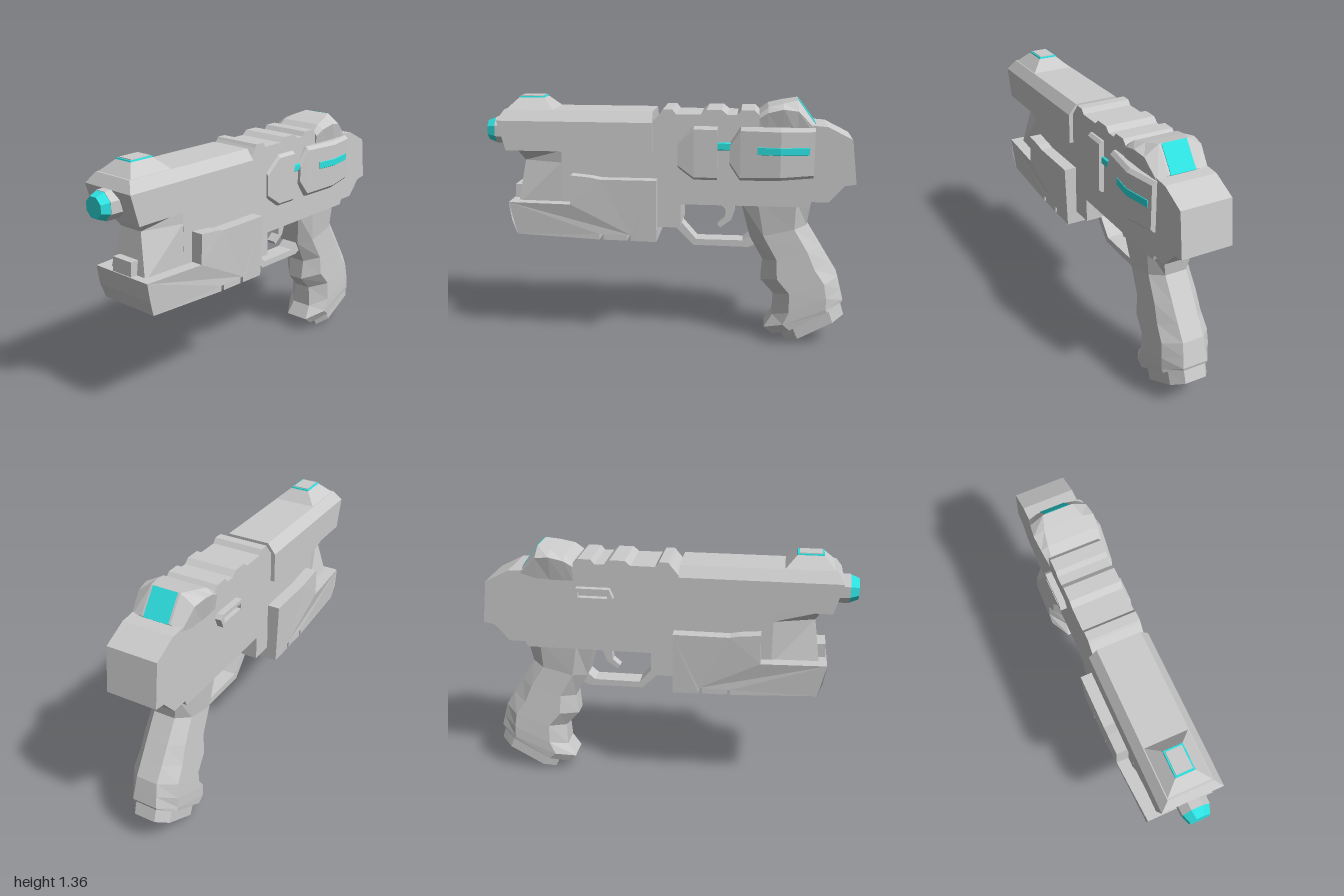
import * as THREE from 'three';

const grey = new THREE.MeshStandardMaterial({ color: 0xcccccc, flatShading: true });
const cyan = new THREE.MeshStandardMaterial({ color: 0x2ee2e2, flatShading: true });

// Closed solid through matching convex cross-sections of [x, y, z] corners
function loft(sections) {
  const tris = [];
  const n = sections[0].length;
  for (let s = 0; s < sections.length - 1; s++) {
    const a = sections[s], b = sections[s + 1];
    for (let i = 0; i < n; i++) {
      const j = (i + 1) % n;
      tris.push([a[i], a[j], b[j]], [a[i], b[j], b[i]]);
    }
  }
  const first = sections[0], last = sections[sections.length - 1];
  for (let i = 1; i < n - 1; i++) {
    tris.push([first[0], first[i + 1], first[i]], [last[0], last[i], last[i + 1]]);
  }
  // A negative volume means the corners run the wrong way round
  let volume = 0;
  for (const [p, q, r] of tris) {
    volume += new THREE.Vector3(...p).dot(new THREE.Vector3(...q).cross(new THREE.Vector3(...r)));
  }
  if (volume < 0) tris.forEach((t) => t.reverse());
  const g = new THREE.BufferGeometry();
  g.setAttribute('position', new THREE.Float32BufferAttribute(tris.flat(2), 3));
  g.computeVertexNormals();
  return g;
}

// Side profile of [z, y] points, extruded across x
function slab(profile, halfWidth, centreX = 0, hole = null) {
  const shape = new THREE.Shape(profile.map(([z, y]) => new THREE.Vector2(z, y)));
  if (hole) shape.holes.push(new THREE.Path(hole.map(([z, y]) => new THREE.Vector2(z, y))));
  const g = new THREE.ExtrudeGeometry(shape, { depth: halfWidth * 2, bevelEnabled: false });
  return g.rotateY(-Math.PI / 2).translate(centreX + halfWidth, 0, 0);
}

// Octagonal section from a front [z, y] to a back [z, y] point
function octagon([fz, fy], [bz, by], half, frontHalf, backHalf, frontCut, backCut) {
  const at = (x, t) => [x, fy + (by - fy) * t, fz + (bz - fz) * t];
  return [
    at(frontHalf, 0), at(half, frontCut), at(half, 1 - backCut), at(backHalf, 1),
    at(-backHalf, 1), at(-half, 1 - backCut), at(-half, frontCut), at(-frontHalf, 0),
  ];
}

// Chamfered plate on the left side; rows are [z, low, high, outer x]
const plate = (rows, c, inner = 0.12) => loft(rows.map(([z, lo, hi, x]) => [
  [inner, lo, z], [x - c, lo, z], [x, lo + c, z], [x, hi - c, z], [x - c, hi, z], [inner, hi, z],
]));

export function createModel() {
  const model = new THREE.Group();
  const add = (name, geometry, material = grey) => {
    const mesh = new THREE.Mesh(geometry, material);
    mesh.name = name;
    model.add(mesh);
    return mesh;
  };

  // Main frame with ridged top, stepped rear and block ahead of the trigger
  add('frame', slab([
    [0.05, 0.67], [0.05, 0.8], [0.57, 0.8], [0.57, 1.08], [0.085, 1.08], [0.085, 1.23], [0.03, 1.295],
    [0.02, 1.31], [-0.03, 1.31], [-0.05, 1.285], [-0.18, 1.285], [-0.21, 1.31], [-0.29, 1.31],
    [-0.32, 1.285], [-0.37, 1.285], [-0.39, 1.31], [-0.46, 1.31], [-0.49, 1.28],
    [-0.775, 1.235], [-0.84, 1.23], [-0.97, 1.165], [-1.0, 0.93], [-0.94, 0.92], [-0.86, 0.83],
    [-0.77, 0.83], [-0.76, 0.8], [-0.075, 0.8], [-0.075, 0.67],
  ], 0.138));

  // Slide with chamfered top edges and a pointed front
  const slideSection = (zMid, zBottom, zTop) => [
    [0.16, 1.24, zMid], [0.16, 1.08, zBottom], [-0.16, 1.08, zBottom],
    [-0.16, 1.24, zMid], [-0.118, 1.295, zTop], [0.118, 1.295, zTop],
  ];
  add('slide', loft([slideSection(0.075, 0.075, 0.075), slideSection(0.915, 0.87, 0.88)]));

  // Tapered column under the slide
  const column = (y, half, front, frontHalf) => [
    [half, y, 0.5], [half, y, 0.57], [frontHalf, y, front],
    [-frontHalf, y, front], [-half, y, 0.57], [-half, y, 0.5],
  ];
  add('frontColumn', loft([
    column(1.08, 0.138, 0.81, 0.137), column(1.015, 0.137, 0.785, 0.07), column(0.78, 0.137, 0.82, 0.125),
  ]));

  // Lower rail, narrowing toward the front and the bottom
  const rail = slab([
    [0.05, 0.6], [0.05, 0.94], [0.35, 0.94], [0.4, 0.95], [0.51, 0.96], [0.515, 0.8], [0.86, 0.8],
    [0.845, 0.7], [0.82, 0.62], [0.36, 0.605], [0.36, 0.635], [0.34, 0.635], [0.34, 0.605],
    [0.21, 0.603], [0.21, 0.635], [0.19, 0.635], [0.19, 0.602],
  ], 0.205);
  const p = rail.attributes.position;
  for (let i = 0; i < p.count; i++) {
    const taper = 1 - 0.1 * Math.max(0, (p.getZ(i) - 0.515) / 0.345);
    p.setX(i, p.getX(i) * taper * (p.getY(i) < 0.65 ? 0.94 : 1));
  }
  rail.computeVertexNormals();
  add('lowerRail', rail);
  add('railNub', slab([[0.75, 0.79], [0.855, 0.79], [0.85, 0.875], [0.75, 0.875]], 0.065));

  // Muzzle
  const ring = (name, r0, r1, z0, z1, material) => add(name,
    new THREE.CylinderGeometry(r1, r0, z1 - z0, 8).rotateY(Math.PI / 8).rotateX(Math.PI / 2)
      .translate(0, 1.17, (z0 + z1) / 2), material);
  ring('muzzleCollar', 0.078, 0.076, 0.86, 0.955, grey);
  ring('muzzleTip', 0.074, 0.056, 0.955, 1.0, cyan);

  // Front sight with a glowing rim
  const rect = (y, x, z0, z1) => [[x, y, z0], [x, y, z1], [-x, y, z1], [-x, y, z0]];
  add('frontSight', loft([rect(1.29, 0.118, 0.61, 0.875), rect(1.355, 0.05, 0.675, 0.81)]));
  add('frontSightRim', loft([rect(1.352, 0.052, 0.673, 0.812), rect(1.36, 0.05, 0.675, 0.81)]), cyan);
  add('frontSightTop', loft([rect(1.355, 0.043, 0.683, 0.802), rect(1.364, 0.042, 0.684, 0.801)]));

  // Rear sight hump and its glowing back face
  add('rearSight', loft([
    [-0.485, 1.29, 0.125, 1.27, 0.15], [-0.53, 1.325, 0.12, 1.3, 0.158],
    [-0.61, 1.345, 0.105, 1.32, 0.165], [-0.685, 1.36, 0.08, 1.31, 0.155],
    [-0.775, 1.24, 0.08, 1.22, 0.138],
  ].map(([z, top, topHalf, mid, midHalf]) => [
    [topHalf, top, z], [midHalf, mid, z], [0.136, 1.18, z],
    [-0.136, 1.18, z], [-midHalf, mid, z], [-topHalf, top, z],
  ])));
  add('rearSightLight', slab([[-0.688, 1.35], [-0.688, 1.361], [-0.78, 1.239], [-0.77, 1.23]], 0.068), cyan);

  // Left side plates and lights
  add('frontSidePlate', plate([
    [-0.06, 1.0, 1.14, 0.15], [-0.145, 0.94, 1.225, 0.163], [-0.27, 0.94, 1.225, 0.165],
  ], 0.015));
  add('rearSidePlate', plate([
    [-0.335, 1.02, 1.14, 0.155], [-0.39, 0.94, 1.225, 0.168],
    [-0.6, 0.95, 1.225, 0.196], [-0.775, 0.96, 1.225, 0.165],
  ], 0.018));
  add('plateLink', plate([[-0.26, 1.1, 1.14, 0.15], [-0.345, 1.1, 1.14, 0.15]], 0.004), cyan);
  add('sideLight', plate([
    [-0.48, 1.085, 1.125, 0.183], [-0.6, 1.085, 1.125, 0.199], [-0.75, 1.085, 1.125, 0.173],
  ], 0.002), cyan);

  // Slot frame on the right side
  add('slotFrame', slab(
    [[-0.27, 1.11], [-0.29, 1.16], [-0.47, 1.16], [-0.49, 1.14], [-0.47, 1.09], [-0.29, 1.09]], 0.02, -0.153,
    [[-0.3, 1.11], [-0.46, 1.11], [-0.46, 1.14], [-0.3, 1.14]]));

  // Grip with finger ridges: front point, back point, half width, front and back facet half widths
  add('grip', loft([
    [[-0.4, 0.81], [-0.775, 0.835], 0.132, 0.1, 0.09],
    [[-0.45, 0.61], [-0.755, 0.685], 0.115, 0.06, 0.06],
    [[-0.525, 0.475], [-0.83, 0.565], 0.122, 0.05, 0.06],
    [[-0.515, 0.36], [-0.885, 0.475], 0.128, 0.045, 0.06],
    [[-0.59, 0.28], [-0.935, 0.395], 0.134, 0.05, 0.06],
    [[-0.585, 0.16], [-0.953, 0.325], 0.138, 0.06, 0.065],
    [[-0.54, 0.085], [-0.968, 0.265], 0.138, 0.07, 0.07],
    [[-0.59, 0.045], [-0.965, 0.252], 0.135, 0.07, 0.07],
  ].map((s) => octagon(...s, 0.24, 0.22))));
  add('gripCap', loft([
    octagon([-0.635, 0.065], [-0.957, 0.242], 0.11, 0.06, 0.06, 0.2, 0.2),
    octagon([-0.665, 0.002], [-0.978, 0.175], 0.11, 0.06, 0.06, 0.2, 0.2),
  ]));

  // Trigger guard and trigger
  add('triggerGuard', slab([
    [-0.01, 0.68], [-0.14, 0.548], [-0.445, 0.545], [-0.55, 0.6], [-0.46, 0.625],
    [-0.41, 0.582], [-0.155, 0.582], [-0.07, 0.68],
  ], 0.05));
  add('triggerBase', slab([[-0.18, 0.81], [-0.2, 0.785], [-0.36, 0.785], [-0.38, 0.81]], 0.05));
  add('trigger', slab([
    [-0.27, 0.79], [-0.315, 0.75], [-0.31, 0.7], [-0.27, 0.665], [-0.285, 0.645],
    [-0.345, 0.69], [-0.365, 0.75], [-0.36, 0.79],
  ], 0.025));

  return model;
}
